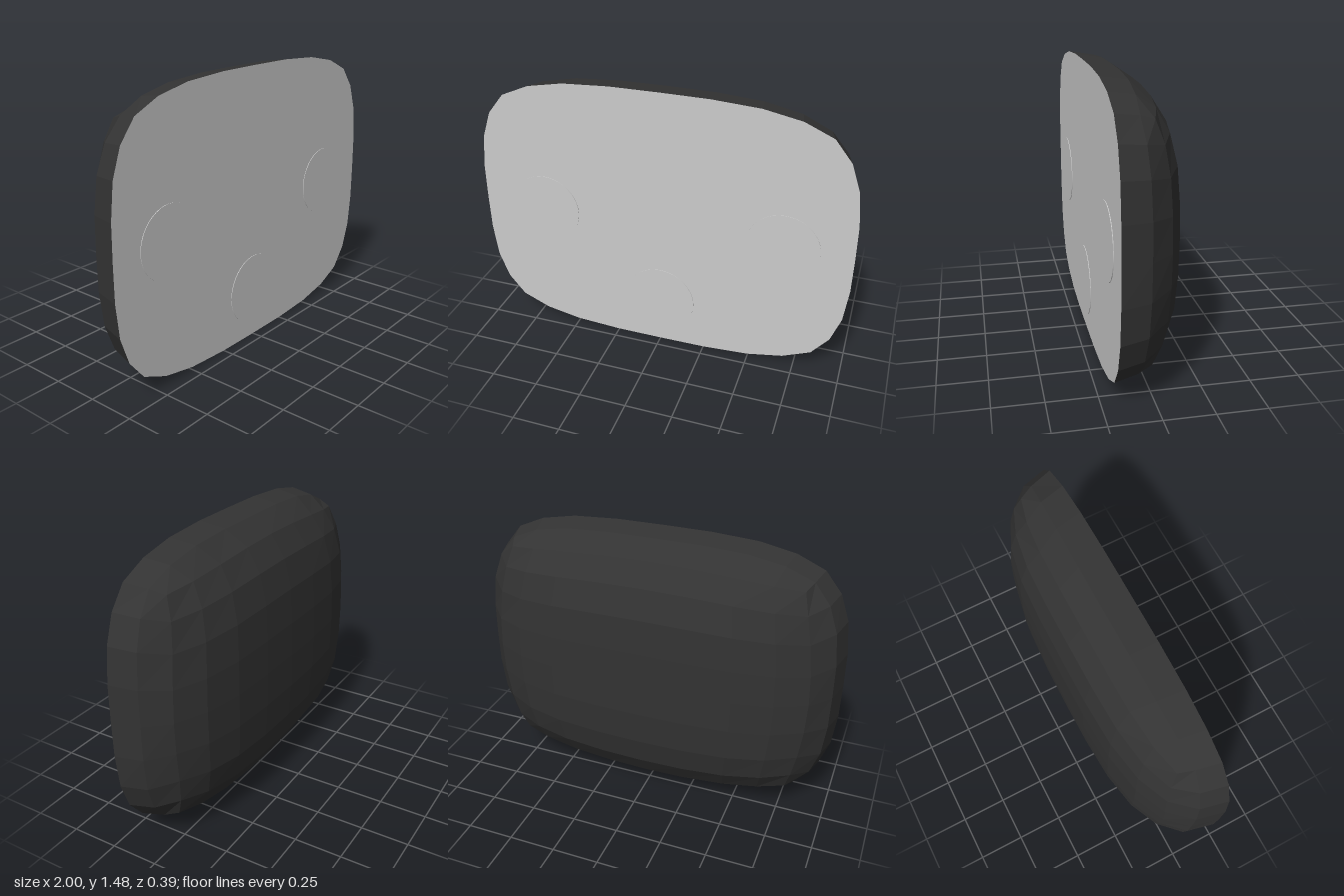
import * as THREE from 'three';

const HALF_H = 0.74, FRONT = 0.19;
// Outline of the pad by border step, counted from the middle of a side to the corner
const ACROSS = [1, 0.998, 0.978, 0.928, 0.84];
const ALONG = [0, 0.255, 0.5, 0.692, 0.84];
// Back dome: spacing of the grid lines and how far the surface falls at each
const GRID = [0, 0.25, 0.5, 0.71, 0.87];
const DROP = [0, 0.002, 0.015, 0.055, 0.13];

const step = (v) => Math.round(Math.abs(v));

function outline(i, j) {
  const a = step(i), b = step(j);
  const x = a === 4 ? ACROSS[b] : ALONG[a];
  const y = b === 4 ? ACROSS[a] : ALONG[b];
  return [Math.sign(i) * x, Math.sign(j) * y];
}

// Point of the shell for a grid position; row -1 is the back, 1 the front rim
function shellPoint(i, j, row) {
  const a = step(i), b = step(j);
  if (row < -0.5) {
    const x = Math.sign(i) * GRID[a] * (1 - 0.13 * GRID[b] ** 2);
    const y = Math.sign(j) * GRID[b] * (1 - 0.13 * GRID[a] ** 2);
    const z = -0.195 + DROP[a] + DROP[b] - 3.85 * DROP[a] * DROP[b];
    return [x, y * HALF_H, z];
  }
  const [x, y] = outline(i, j);
  if (row > 0.5) return [x, y * HALF_H, FRONT];
  const corner = (Math.min(a, b) / 4) ** 2;
  return [x * 0.967, y * 0.972 * HALF_H, 0.047 + 0.025 * corner];
}

function shellGeometry() {
  const geo = new THREE.BoxGeometry(8, 8, 2, 8, 8, 2);
  // Leave the front open for the plate
  const front = geo.groups[4];
  const index = Array.from(geo.index.array);
  index.splice(front.start, front.count);
  geo.setIndex(index);
  geo.clearGroups();
  const p = geo.attributes.position;
  for (let n = 0; n < p.count; n++) {
    p.setXYZ(n, ...shellPoint(p.getX(n), p.getY(n), p.getZ(n)));
  }
  const flat = geo.toNonIndexed();
  flat.computeVertexNormals();
  return flat;
}

function plateGeometry() {
  const pts = [];
  const add = (i, j) => {
    const [x, y] = outline(i, j);
    pts.push(new THREE.Vector2(x, y * HALF_H));
  };
  for (let k = -4; k < 4; k++) add(4, k);
  for (let k = 4; k > -4; k--) add(k, 4);
  for (let k = 4; k > -4; k--) add(-4, k);
  for (let k = -4; k < 4; k++) add(k, -4);
  return new THREE.ShapeGeometry(new THREE.Shape(pts));
}

export function createModel() {
  const model = new THREE.Group();
  model.name = 'pad';
  const dark = new THREE.MeshStandardMaterial({ color: 0x333333, flatShading: true, side: THREE.DoubleSide });
  const grey = new THREE.MeshStandardMaterial({ color: 0xcccccc });

  const add = (name, geo, mat, x, y, z) => {
    const mesh = new THREE.Mesh(geo, mat);
    mesh.name = name;
    mesh.position.set(x, y, z);
    model.add(mesh);
  };

  // Domed shell closed by a flat front plate
  add('shell', shellGeometry(), dark, 0, HALF_H, 0);
  add('frontPlate', plateGeometry(), grey, 0, HALF_H, FRONT);

  // Three thin round discs, almost flush with the plate
  const disc = new THREE.CylinderGeometry(0.19, 0.19, 0.01, 40).rotateX(Math.PI / 2);
  add('leftDisc', disc, grey, 0.645, 0.735, FRONT - 0.002);
  add('rightDisc', disc, grey, -0.645, 0.735, FRONT - 0.002);
  add('lowerDisc', disc, grey, 0, 0.275, FRONT - 0.002);
  return model;
}
